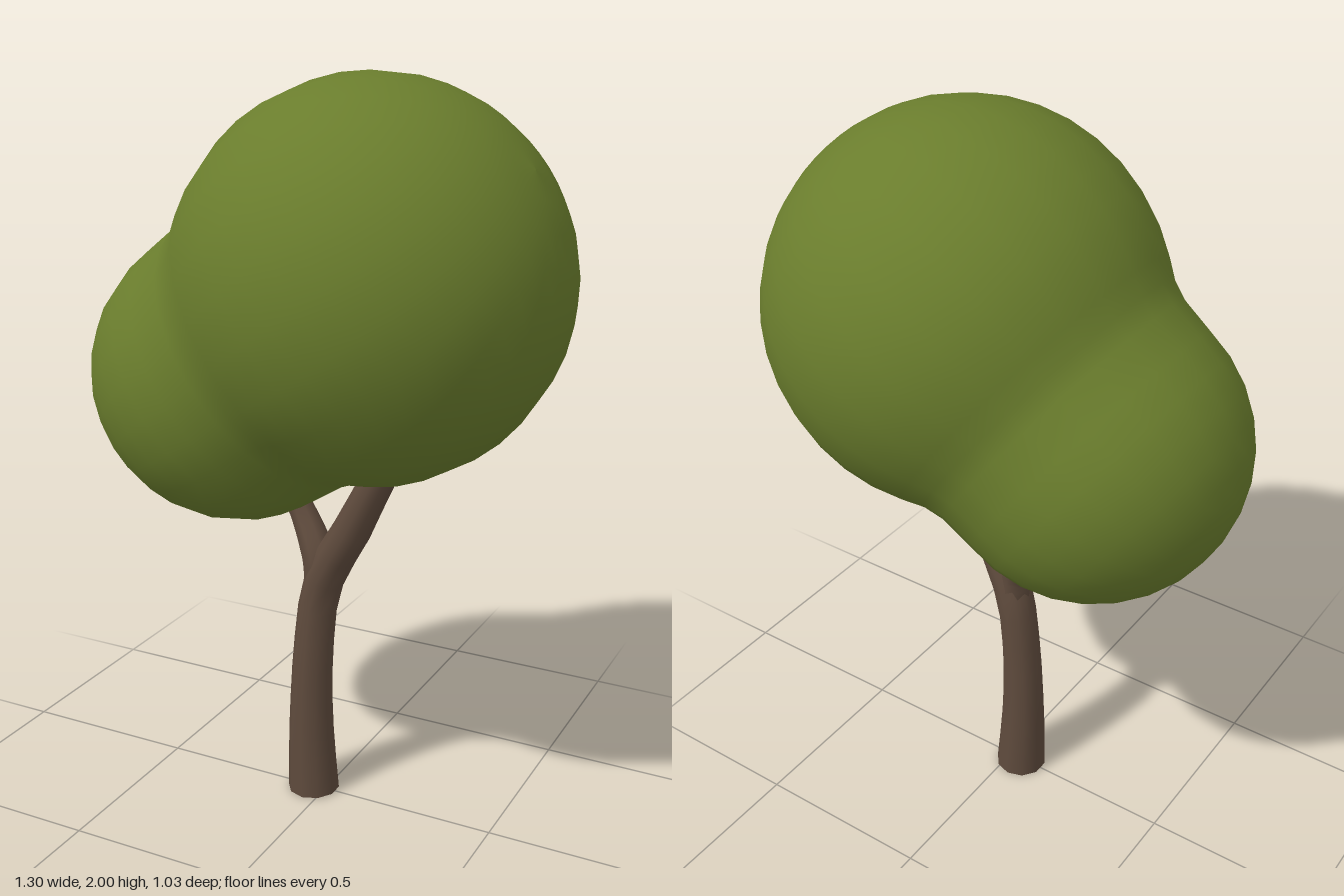
import * as THREE from 'three';

const bark = new THREE.MeshStandardMaterial({ color: 0x5f4b3d });
bark.name = 'brown bark';
const leaf = new THREE.MeshStandardMaterial({ color: 0x6a7d2d });
leaf.name = 'olive leaves';

// Tube along a smooth path whose rings are scaled to the given radii
function taperedLimb(name, path, radii, sides = 10) {
  const curve = new THREE.CatmullRomCurve3(path.map((p) => new THREE.Vector3(...p)));
  const steps = 12;
  const geometry = new THREE.TubeGeometry(curve, steps, 1, sides);
  const pos = geometry.attributes.position;
  const v = new THREE.Vector3();
  for (let i = 0; i <= steps; i++) {
    const centre = curve.getPointAt(i / steps);
    const t = (i / steps) * (radii.length - 1);
    const k = Math.min(Math.floor(t), radii.length - 2);
    const r = THREE.MathUtils.lerp(radii[k], radii[k + 1], t - k);
    for (let j = 0; j <= sides; j++) {
      const n = i * (sides + 1) + j;
      v.fromBufferAttribute(pos, n).sub(centre).multiplyScalar(r).add(centre);
      pos.setXYZ(n, v.x, Math.max(v.y, 0), v.z);
    }
  }
  const mesh = new THREE.Mesh(geometry, bark);
  mesh.name = name;
  return mesh;
}

// Two round crowns blended into one, turned about the line joining them
function foliage() {
  const small = new THREE.Vector3(-0.25, 1.21, 0);
  const big = new THREE.Vector3(0.13, 1.486, 0);
  const rSmall = 0.402, rBig = 0.517;
  const axis = big.clone().sub(small);
  const gap = axis.length();
  const profile = [];
  for (let i = 0; i <= 8; i++) {
    const a = (i / 8) * 1.6;
    profile.push(new THREE.Vector2(rSmall * Math.sin(a), -rSmall * Math.cos(a)));
  }
  profile.push(new THREE.Vector2(0.407, 0.11), new THREE.Vector2(0.422, 0.165));
  for (let i = 0; i <= 13; i++) {
    const a = THREE.MathUtils.lerp(1.06, Math.PI, i / 13);
    profile.push(new THREE.Vector2(Math.max(rBig * Math.sin(a), 0), gap - rBig * Math.cos(a)));
  }
  const mesh = new THREE.Mesh(new THREE.LatheGeometry(profile, 24), leaf);
  mesh.name = 'foliage';
  mesh.position.copy(small);
  mesh.quaternion.setFromUnitVectors(new THREE.Vector3(0, 1, 0), axis.normalize());
  return mesh;
}

export function createModel() {
  const tree = new THREE.Group();
  tree.name = 'tree';

  // Trunk running on into the larger branch
  tree.add(taperedLimb('trunk',
    [[-0.037, 0, 0], [-0.044, 0.2, 0], [-0.038, 0.42, 0], [-0.014, 0.62, 0],
      [0.025, 0.71, 0.008], [0.08, 0.8, 0.02], [0.165, 0.965, 0.035], [0.22, 1.07, 0.04]],
    [0.073, 0.066, 0.06, 0.056, 0.054, 0.055, 0.052, 0.046, 0.043]));

  // Smaller branch leaving the fork
  tree.add(taperedLimb('sideBranch',
    [[-0.012, 0.64, 0], [-0.025, 0.72, -0.006], [-0.085, 0.82, -0.035], [-0.15, 0.91, -0.05]],
    [0.048, 0.046, 0.037, 0.034], 8));

  // Flat underside of the trunk
  const base = new THREE.Mesh(new THREE.CircleGeometry(0.073, 10), bark);
  base.name = 'trunkBase';
  base.rotation.x = Math.PI / 2;
  base.position.x = -0.037;
  tree.add(base);

  tree.add(foliage());
  return tree;
}
